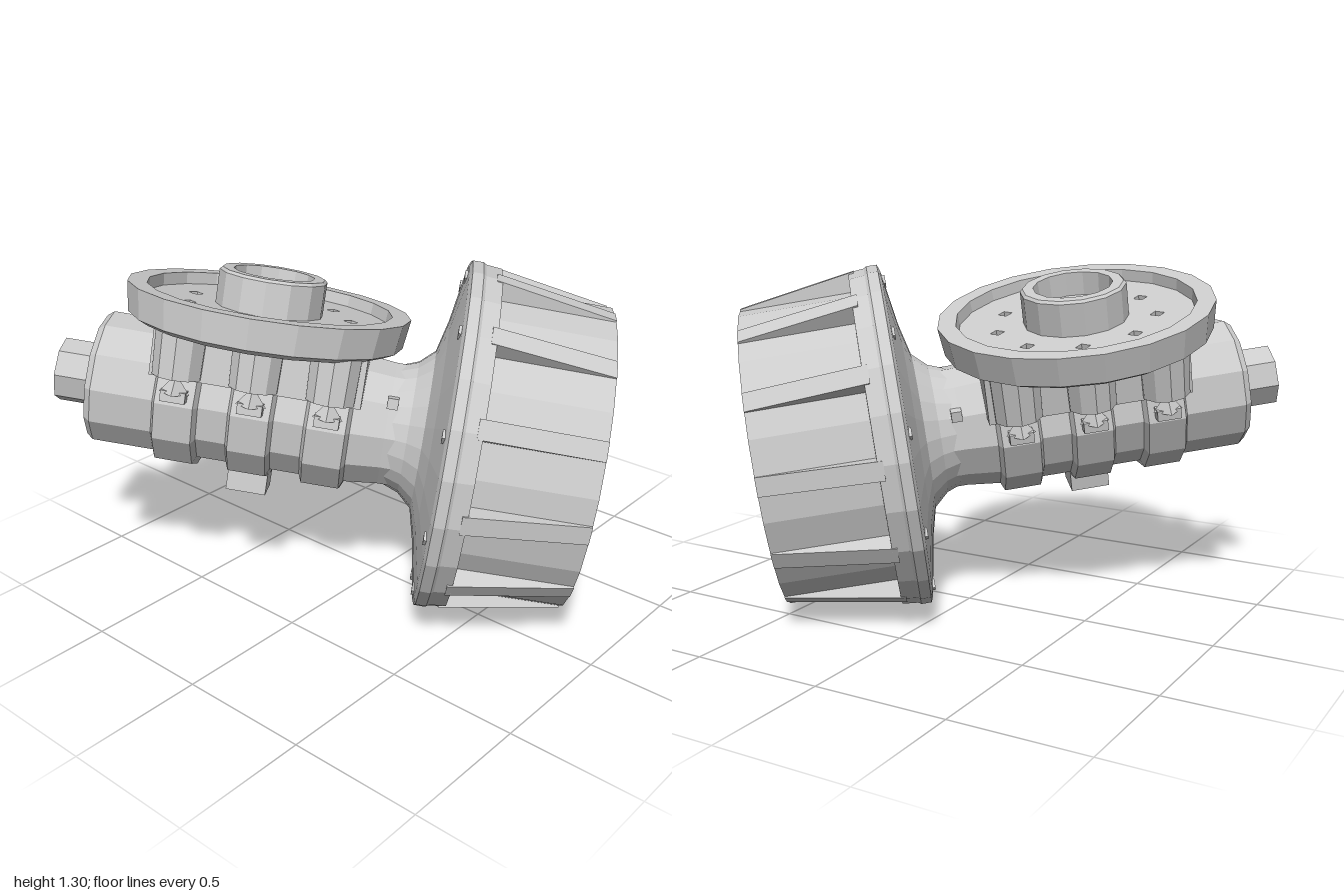
import * as THREE from 'three';

const grey = new THREE.MeshStandardMaterial({ color: 0xcccccc, flatShading: true, side: THREE.DoubleSide });

export function createModel() {
  const model = new THREE.Group();
  // Local frame: x runs along the barrel from shaft tip to drum, y is the mounting plate axis
  const unit = new THREE.Group();
  unit.name = 'wheelUnit';
  unit.position.set(-0.925, 0.87, 0.745);
  unit.rotation.set(-0.248, 0.637, 0);
  model.add(unit);

  const add = (name, geometry, x = 0, y = 0, z = 0) => {
    const mesh = new THREE.Mesh(geometry, grey);
    mesh.name = name;
    mesh.position.set(x, y, z);
    unit.add(mesh);
    return mesh;
  };
  // Profiles are [radius, height] pairs
  const lathe = (profile, sides) =>
    new THREE.LatheGeometry(profile.map(([r, h]) => new THREE.Vector2(r, h)), sides);
  const alongX = (g) => g.rotateZ(-Math.PI / 2);

  // Shaft and barrel
  add('shaftTip', alongX(new THREE.CylinderGeometry(0.12, 0.12, 0.24, 8)), 0.12);
  add('barrel', alongX(lathe([
    [0, 0.18], [0.185, 0.18], [0.195, 0.145], [0.23, 0.145], [0.25, 0.17], [0.25, 1.1], [0.235, 1.24], [0.235, 1.36],
  ], 12)));

  // Drum shell: flared neck, dished flange and outer floor
  add('drumShell', alongX(lathe([
    [0.22, 1.24], [0.25, 1.32], [0.3, 1.375], [0.42, 1.405], [0.63, 1.44], [0.655, 1.45], [0.655, 1.49],
    [0.648, 1.5], [0.642, 1.56], [0.575, 1.562], [0.568, 1.98], [0.525, 1.98],
  ], 24)));
  // Stepped cavity and hollow hub
  add('drumCavity', alongX(lathe([
    [0.525, 1.98], [0.505, 1.8], [0.415, 1.8], [0.395, 1.52], [0, 1.5],
  ], 12 * 2)));
  add('hub', alongX(lathe([
    [0.2, 1.48], [0.2, 1.61], [0.18, 1.64], [0.125, 1.64], [0.11, 1.52], [0, 1.52],
  ], 10)));

  // Tapered ribs that leave pockets around the drum
  const ribShape = new THREE.Shape([
    [1.54, 0.54], [1.54, 0.645], [1.98, 0.57], [1.98, 0.54],
  ].map(([x, y]) => new THREE.Vector2(x, y)));
  const ribGeometry = new THREE.ExtrudeGeometry(ribShape, { depth: 0.07, bevelEnabled: false });
  ribGeometry.translate(0, 0, -0.035);
  for (let i = 0; i < 12; i++) {
    add('drumRib', ribGeometry).rotation.x = (i + 0.45) * Math.PI / 6;
  }

  // Small bolts set into the flange
  for (let i = 0; i < 10; i++) {
    const a = (i + 0.15) * Math.PI / 5;
    add('flangeBolt', alongX(new THREE.CylinderGeometry(0.024, 0.024, 0.02, 4)),
      1.438, 0.6 * Math.cos(a), 0.6 * Math.sin(a));
  }

  // Mounting plate: rim, recessed face with holes, central boss
  const plateX = 0.74;
  add('plateRim', lathe([
    [0, 0.27], [0.47, 0.27], [0.51, 0.29], [0.525, 0.4], [0.455, 0.4], [0.45, 0.35],
  ], 20), plateX);
  const face = new THREE.Shape().absarc(0, 0, 0.455, 0, Math.PI * 2);
  face.holes.push(new THREE.Path().absarc(0, 0, 0.15, 0, Math.PI * 2, true));
  for (let i = 0; i < 9; i++) {
    const a = i * Math.PI * 2 / 9 - 0.637;
    const cx = 0.305 * Math.cos(a), cy = 0.305 * Math.sin(a);
    const corners = [0, 1, 2, 3].map((k) => new THREE.Vector2(
      cx + 0.028 * Math.cos(-k * Math.PI / 2), cy + 0.028 * Math.sin(-k * Math.PI / 2)));
    face.holes.push(new THREE.Path(corners));
  }
  const faceGeometry = new THREE.ExtrudeGeometry(face, { depth: 0.07, bevelEnabled: false, curveSegments: 12 });
  add('plateFace', faceGeometry.rotateX(-Math.PI / 2), plateX, 0.285);
  add('plateBoss', lathe([
    [0.2, 0.3], [0.2, 0.48], [0.19, 0.49], [0.15, 0.49], [0.145, 0.4], [0.125, 0.4], [0.125, 0.3], [0, 0.3],
  ], 14), plateX);

  // Saddle between plate and barrel
  add('saddle', new THREE.BoxGeometry(0.76, 0.2, 0.56), 0.76, 0.2);

  // Three clamps, each with a lug, ear and bolt on both sides
  for (const x of [0.48, 0.755, 1.03]) {
    add('clampStrap', alongX(lathe([
      [0.245, -0.085], [0.28, -0.07], [0.28, 0.07], [0.245, 0.085],
    ], 12)), x);
    for (const side of [-1, 1]) {
      add('clampLug', new THREE.CylinderGeometry(0.095, 0.09, 0.19, 10), x, 0.205, side * 0.27);
      add('clampEar', new THREE.BoxGeometry(0.09, 0.04, 0.09), x, 0.04, side * 0.27);
      add('clampBolt', new THREE.ConeGeometry(0.055, 0.07, 4), x, 0.085, side * 0.29);
    }
  }
  add('clampTab', new THREE.BoxGeometry(0.15, 0.1, 0.14), 0.755, -0.285, 0.01);

  // Neck bolts
  for (const side of [-1, 1]) {
    add('neckBolt', new THREE.BoxGeometry(0.04, 0.04, 0.04), 1.25, 0.125, side * 0.195);
  }
  return model;
}
